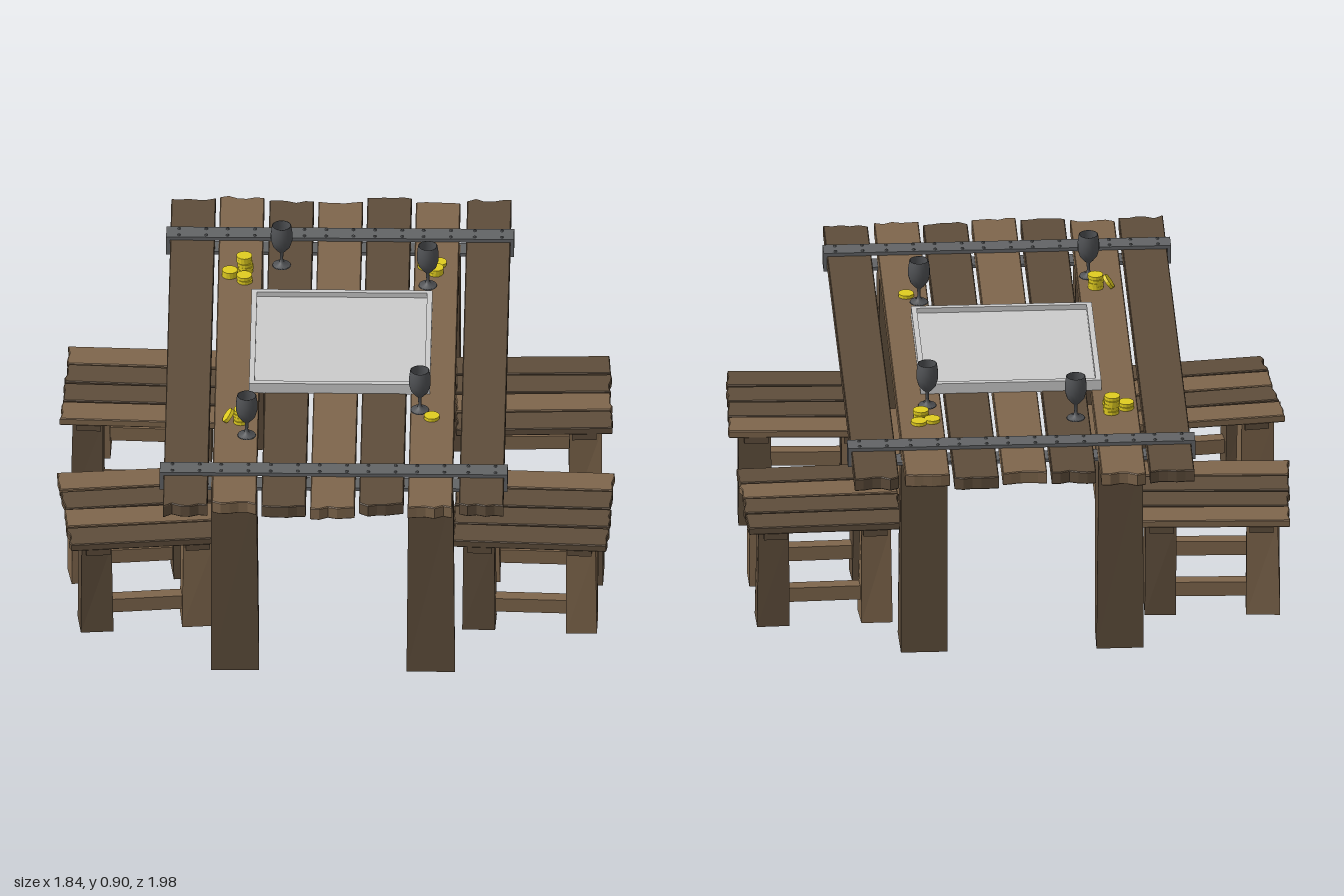
import * as THREE from 'three';

const mat = (color) => new THREE.MeshStandardMaterial({ color, flatShading: true });
const LIGHT = mat(0x7e664c), DARK = mat(0x5e4d3b), IRON = mat(0x626466), GREY = mat(0xcccccc), GOLD = mat(0xe0cc20);
const PEWTER = new THREE.MeshStandardMaterial({ color: 0x505255, side: THREE.DoubleSide });

let seed = 7;
const rnd = () => (seed = (seed * 16807) % 2147483647) / 2147483647;
const jit = (a) => (rnd() * 2 - 1) * a;

function add(parent, name, geo, material, x = 0, y = 0, z = 0) {
  const m = new THREE.Mesh(geo, material);
  m.name = name;
  m.position.set(x, y, z);
  parent.add(m);
  return m;
}

const box = (parent, name, material, w, h, d, x, y, z) =>
  add(parent, name, new THREE.BoxGeometry(w, h, d), material, x, y, z);

// Plank lying along z from z0 to z1 with rough sawn ends, base at y = 0
function plankGeo(w, z0, z1, t, rough) {
  const pts = [], n = 5;
  for (let i = 0; i <= n; i++) pts.push(new THREE.Vector2((i / n - 0.5) * w, -z1 + rnd() * rough));
  for (let i = n; i >= 0; i--) pts.push(new THREE.Vector2((i / n - 0.5) * w, -z0 - rnd() * rough));
  const b = 0.003;
  const g = new THREE.ExtrudeGeometry(new THREE.Shape(pts), {
    depth: t - 2 * b, bevelEnabled: true, bevelSize: b, bevelThickness: b, bevelOffset: -b, bevelSegments: 1,
  });
  return g.translate(0, 0, b).rotateX(-Math.PI / 2);
}

// Hand-hewn post: slightly uneven, wider at the foot
function postGeo(w, h, d, wobble) {
  const g = new THREE.BoxGeometry(w, h, d).translate(0, h / 2, 0);
  const p = g.attributes.position, shift = {};
  for (let i = 0; i < p.count; i++) {
    const key = [p.getX(i) > 0, p.getY(i) > h / 2, p.getZ(i) > 0].join();
    shift[key] ??= [jit(wobble), jit(wobble)];
    const s = p.getY(i) > h / 2 ? 0.97 : 1.02;
    p.setX(i, p.getX(i) * s + shift[key][0]);
    p.setZ(i, p.getZ(i) * s + shift[key][1]);
  }
  g.computeVertexNormals();
  return g;
}

function makeTable() {
  const table = new THREE.Group();
  table.name = 'table';
  // Top planks
  const xs = [-0.492, -0.331, -0.167, -0.005, 0.156, 0.317, 0.486];
  const back = [-0.988, -1, -0.975, -0.968, -1, -0.978, -0.992];
  const front = [0.978, 0.96, 0.988, 0.993, 0.965, 0.98, 0.965];
  xs.forEach((x, i) =>
    add(table, 'topPlank', plankGeo(0.147, back[i], front[i], 0.044, 0.022), i % 2 ? LIGHT : DARK, x, 0.702, 0));
  // Legs and long stretchers
  for (const x of [-0.332, 0.318]) {
    for (const z of [0.71, -0.685]) add(table, 'tableLeg', postGeo(0.155, 0.705, 0.157, 0.003), DARK, x, 0, z);
    box(table, 'tableStretcher', LIGHT, 0.08, 0.08, 1.3, x, 0.185, 0.012);
  }
  // Iron bands wrapped round the top, with rivets
  const rivet = new THREE.CylinderGeometry(0.004, 0.006, 0.004, 6);
  for (const z of [0.75, -0.743]) {
    const band = new THREE.Group();
    band.name = 'ironBand';
    band.position.set(-0.004, 0, z);
    for (const y of [0.753, 0.698]) box(band, 'bandStrap', IRON, 1.15, 0.012, 0.066, 0, y, 0);
    for (const s of [-1, 1]) box(band, 'bandEnd', IRON, 0.012, 0.067, 0.066, s * 0.569, 0.7255, 0);
    for (const x of xs)
      for (const dx of [-0.045, 0.045])
        for (const dz of [-0.02, 0.02]) add(band, 'rivet', rivet, IRON, x + dx + 0.004, 0.761, dz);
    table.add(band);
  }
  return table;
}

function makeTray() {
  const tray = new THREE.Group();
  tray.name = 'tray';
  tray.position.set(0.008, 0.744, -0.047);
  box(tray, 'trayFloor', GREY, 0.57, 0.02, 0.57, 0, 0.01, 0);
  for (const s of [-1, 1]) {
    box(tray, 'trayRim', GREY, 0.598, 0.038, 0.018, 0, 0.019, s * 0.29);
    box(tray, 'trayRim', GREY, 0.018, 0.038, 0.562, s * 0.29, 0.019, 0);
  }
  return tray;
}

// Stool: four planks along x on battens, four posts, two low stretchers
function makeStool(x, z, turn, foot, tones) {
  const stool = new THREE.Group();
  stool.name = 'stool';
  stool.position.set(x, 0, z);
  stool.rotation.y = turn;
  tones.forEach((tone, i) => {
    const p = add(stool, 'seatPlank', plankGeo(0.109, -0.262, 0.262, 0.026, 0.01), tone ? LIGHT : DARK,
      0, 0.36, (i - 1.5) * 0.117);
    p.rotation.y = Math.PI / 2 + jit(0.012);
  });
  for (const sx of [-1, 1]) {
    box(stool, 'seatBatten', DARK, 0.08, 0.024, 0.45, sx * 0.165, 0.349, 0);
    for (const sz of [-1, 1])
      add(stool, 'stoolLeg', postGeo(0.105, 0.36 - foot, 0.102, 0.004), sx * sz > 0 ? LIGHT : DARK,
        sx * 0.17, foot, sz * 0.155);
  }
  for (const sz of [-1, 1]) box(stool, 'stoolStretcher', LIGHT, 0.28, 0.05, 0.045, 0, 0.11, sz * 0.155);
  return stool;
}

function gobletGeo() {
  const profile = [[0, 0], [0.031, 0], [0.029, 0.005], [0.009, 0.011], [0.005, 0.025], [0.006, 0.05], [0.016, 0.06],
    [0.029, 0.076], [0.036, 0.1], [0.036, 0.125], [0.032, 0.154], [0.029, 0.154], [0.032, 0.125], [0.031, 0.1],
    [0.02, 0.076], [0, 0.068]];
  return new THREE.LatheGeometry(profile.map(([r, y]) => new THREE.Vector2(r, y)), 20);
}

export function createModel() {
  seed = 7;
  const model = new THREE.Group();
  model.name = 'tableWithStools';
  model.add(makeTable(), makeTray());
  model.add(
    makeStool(-0.652, -0.384, -0.045, 0.03, [1, 0, 0, 1]),
    makeStool(0.64, -0.352, 0.03, 0.013, [0, 0, 1, 0]),
    makeStool(-0.645, 0.38, 0.114, 0.03, [1, 0, 1, 0]),
    makeStool(0.65, 0.373, -0.04, 0.028, [1, 0, 0, 0]),
  );

  // Goblets
  const goblet = gobletGeo();
  for (const [x, z] of [[-0.195, -0.557], [0.29, -0.435], [0.275, 0.355], [-0.295, 0.523]])
    add(model, 'goblet', goblet, PEWTER, x, 0.746, z);

  // Coin stacks: x, z, number of coins
  const coin = new THREE.CylinderGeometry(0.026, 0.026, 0.0115, 14);
  const stacks = [[-0.365, -0.49, 2], [-0.315, -0.52, 5], [-0.315, -0.455, 2], [-0.315, 0.437, 4],
    [0.28, -0.555, 1], [0.325, -0.57, 1], [0.315, -0.515, 2], [0.315, 0.405, 1]];
  for (const [x, z, n] of stacks)
    for (let i = 0; i < n; i++)
      add(model, 'coin', coin, GOLD, x + (i ? jit(0.003) : 0), 0.752 + i * 0.0125, z + (i ? jit(0.003) : 0));
  // One coin leaning against its stack
  add(model, 'leaningCoin', coin, GOLD, -0.357, 0.768, 0.434).rotation.z = 0.95;

  return model;
}
